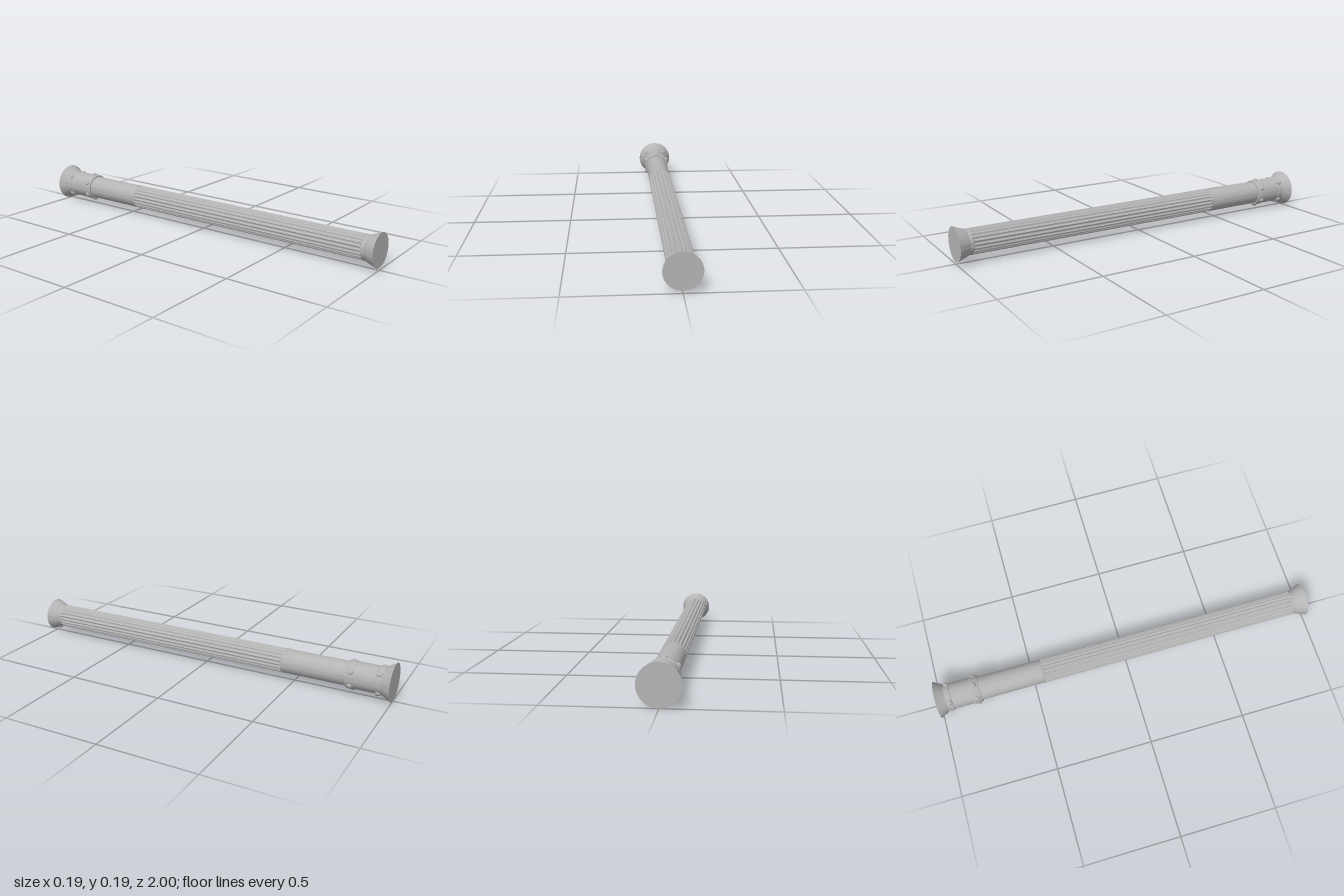
import * as THREE from 'three';
import { toCreasedNormals } from 'three/addons/utils/BufferGeometryUtils.js';

const R = 0.062;      // shaft radius
const AXIS = 0.0965;  // height of the shaft's axis

export function createModel() {
  const group = new THREE.Group();
  const stone = new THREE.MeshStandardMaterial({ color: 0xb4b4b4 });
  stone.name = 'grey stone';

  // Shapes are made upright along y, then laid so that y becomes z
  const add = (name, geometry) => {
    geometry.rotateX(Math.PI / 2);
    const mesh = new THREE.Mesh(toCreasedNormals(geometry, 0.5), stone);
    mesh.name = name;
    mesh.position.y = AXIS;
    group.add(mesh);
  };
  const lathe = (name, points) =>
    add(name, new THREE.LatheGeometry(points.map(([r, z]) => new THREE.Vector2(r, z)), 64));

  // Flared base at the back
  lathe('base', [
    [0, -1], [0.0965, -1], [0.087, -0.985], [0.078, -0.968], [0.071, -0.957], [0.066, -0.945],
  ]);

  // Collar with a raised band at each end
  lathe('collar', [
    [0.066, -0.957], [0.071, -0.952], [0.071, -0.927], [0.068, -0.923],
    [0.068, -0.82], [0.071, -0.816], [0.071, -0.782], [0.068, -0.775], [R - 0.002, -0.775],
  ]);

  // Plain part of the shaft
  lathe('plainShaft', [[R - 0.001, -0.78], [R - 0.001, -0.46], [R, -0.46]]);

  // Fluted part: grooves with rounded ends pressed into a cylinder
  const flutes = 20, steps = 8, start = -0.46, end = 0.95;
  const levels = [start, -0.445, -0.442, -0.438, -0.434, -0.43, 0.915, 0.919, 0.923, 0.927, 0.93, end];
  const shaft = new THREE.CylinderGeometry(R, R, 1, flutes * steps, levels.length - 1, true);
  const p = shaft.attributes.position;
  for (let i = 0; i < p.count; i++) {
    const row = Math.floor(i / (flutes * steps + 1));
    const column = i % (flutes * steps + 1);
    const z = levels[levels.length - 1 - row];
    const across = ((column % steps) / steps - 0.5) / 0.38;
    const along = Math.max(0, -0.43 - z, z - 0.915) / 0.015;
    const depth = 0.0065 * Math.sqrt(Math.max(0, 1 - across * across - along * along));
    const a = (column / (flutes * steps)) * Math.PI * 2;
    p.setXYZ(i, Math.sin(a) * (R - depth), z, Math.cos(a) * (R - depth));
  }
  add('flutedShaft', shaft);

  // Flared capital at the front
  lathe('capital', [
    [R, 0.945], [0.066, 0.952], [0.071, 0.964], [0.077, 0.981], [0.085, 1], [0, 1],
  ]);

  // Round-headed studs on both collar bands
  const studs = (name, count, offset, z) => {
    for (let i = 0; i < count; i++) {
      const a = offset + (i / count) * Math.PI * 2;
      const stud = new THREE.SphereGeometry(0.014, 14, 10);
      stud.scale(1, 0.7, 1);
      stud.rotateZ(-Math.PI / 2);
      stud.translate(0.071, 0, 0);
      stud.rotateY(a);
      stud.translate(0, z, 0);
      add(name + (i + 1), stud);
    }
  };
  studs('frontStud', 6, Math.PI / 2, -0.8);
  studs('backStud', 4, Math.PI / 4, -0.937);

  return group;
}
